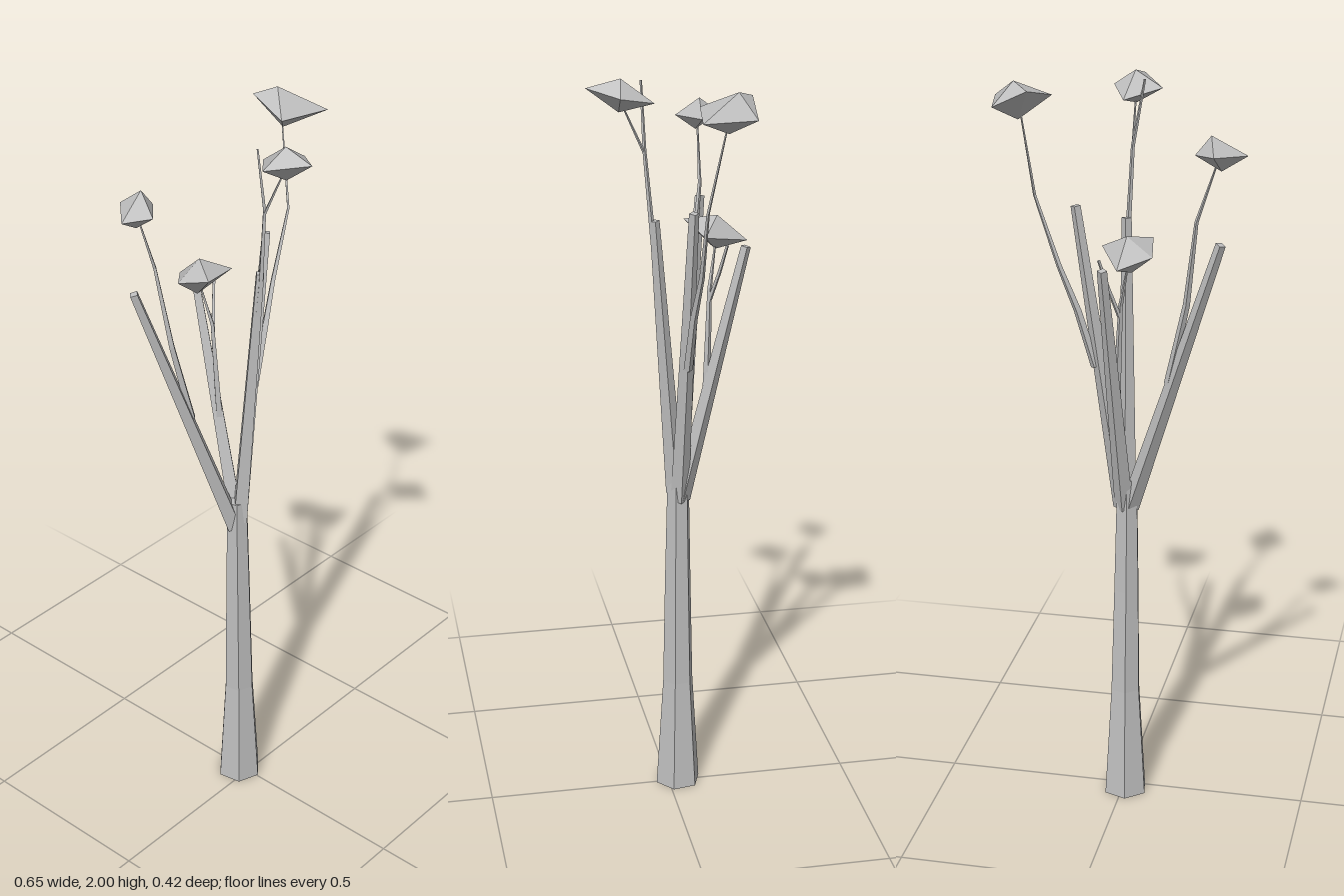
import * as THREE from 'three';

const UP = new THREE.Vector3(0, 1, 0);

// Build a mesh from a point list and triangle indices
function polyMesh(name, points, index, material) {
  const geo = new THREE.BufferGeometry();
  geo.setAttribute('position', new THREE.Float32BufferAttribute(points.flat(), 3));
  geo.setIndex(index);
  const flat = geo.toNonIndexed();
  flat.computeVertexNormals();
  const mesh = new THREE.Mesh(flat, material);
  mesh.name = name;
  return mesh;
}

// Tapered limb: rings of a few sides lofted along a path, capped at both ends.
// Each path entry is [x, y, z, radius].
function limb(name, path, sides, turn, material) {
  const centers = path.map(([x, y, z]) => new THREE.Vector3(x, y, z));
  const points = [], index = [];
  path.forEach((p, i) => {
    const before = centers[Math.max(i - 1, 0)];
    const after = centers[Math.min(i + 1, centers.length - 1)];
    const q = new THREE.Quaternion().setFromUnitVectors(UP, after.clone().sub(before).normalize());
    for (let s = 0; s < sides; s++) {
      const a = turn + (s / sides) * Math.PI * 2;
      const v = new THREE.Vector3(Math.sin(a) * p[3], 0, Math.cos(a) * p[3]);
      points.push(v.applyQuaternion(q).add(centers[i]).toArray());
    }
  });
  for (let i = 0; i < path.length - 1; i++) {
    for (let s = 0; s < sides; s++) {
      const a = i * sides + s, b = i * sides + (s + 1) % sides;
      index.push(a, b, b + sides, a, b + sides, a + sides);
    }
  }
  const last = (path.length - 1) * sides;
  for (let s = 1; s < sides - 1; s++) {
    index.push(0, s + 1, s, last, last + s, last + s + 1);
  }
  return polyMesh(name, points, index, material);
}

// Leaf clump: an uneven double pyramid on four corners (left, back, right, front)
function leafClump(name, top, bottom, ring, material) {
  const index = [];
  for (let i = 0; i < 4; i++) {
    const a = 2 + i, b = 2 + (i + 1) % 4;
    index.push(0, b, a, 1, a, b);
  }
  return polyMesh(name, [top, bottom, ...ring], index, material);
}

export function createModel() {
  const gray = new THREE.MeshStandardMaterial({ color: 0xbfbfbf, flatShading: true });
  gray.name = 'plain gray';
  const tree = new THREE.Group();
  tree.name = 'tree';

  // Six-sided trunk, flared at the foot
  tree.add(limb('trunk', [
    [-0.007, 0, -0.027, 0.063],
    [-0.007, 0.32, -0.027, 0.043],
    [-0.01, 0.62, -0.027, 0.037],
    [-0.012, 0.94, -0.028, 0.03],
  ], 6, THREE.MathUtils.degToRad(10), gray));

  // Four main branches fanning out of the trunk top
  const branches = {
    rightBranch: [[-0.02, 0.86, -0.03], [-0.268, 1.62, -0.135]],
    leftBranch: [[0, 0.86, -0.03], [0.118, 1.675, -0.042]],
    frontBranch: [[-0.01, 0.88, -0.02], [0.003, 1.63, 0.037]],
    backBranch: [[-0.005, 0.86, -0.035], [0.016, 1.555, -0.198]],
  };
  for (const [name, [a, b]] of Object.entries(branches)) {
    tree.add(limb(name, [[...a, 0.025], [...b, 0.013]], 4, 0, gray));
  }

  // Thin bent twigs carrying the leaf clumps
  const twigs = {
    rightTwig: [[-0.13, 1.23, -0.078, 0.012], [-0.178, 1.45, -0.097, 0.009],
      [-0.205, 1.67, -0.122, 0.005], [-0.258, 1.83, -0.125, 0.002]],
    leftTwig: [[0.07, 1.25, -0.038, 0.012], [0.115, 1.4, -0.043, 0.01],
      [0.16, 1.52, -0.054, 0.007], [0.22, 1.7, -0.056, 0.004], [0.243, 1.93, -0.1, 0.002]],
    frontTwig: [[-0.002, 1.3, 0.012, 0.011], [0, 1.6, 0.042, 0.007],
      [-0.008, 1.81, 0.06, 0.005], [-0.038, 1.98, 0.063, 0.003]],
    frontTwigFork: [[-0.008, 1.8, 0.059, 0.004], [-0.004, 1.93, 0.118, 0.002]],
    backTwig: [[0.002, 1.15, -0.1, 0.011], [-0.012, 1.44, -0.11, 0.006],
      [-0.036, 1.56, -0.13, 0.002]],
    backTwigFork: [[-0.01, 1.41, -0.11, 0.006], [0.015, 1.49, -0.13, 0.005],
      [0.036, 1.565, -0.145, 0.004]],
  };
  for (const [name, path] of Object.entries(twigs)) {
    tree.add(limb(name, path, 4, 0, gray));
  }

  // Faceted leaf clumps at the twig ends
  tree.add(leafClump('rightLeaves', [-0.24, 1.888, -0.127], [-0.265, 1.8, -0.122],
    [[-0.328, 1.838, -0.108], [-0.255, 1.845, -0.183], [-0.2, 1.838, -0.127], [-0.263, 1.84, -0.067]], gray));
  tree.add(leafClump('leftLeaves', [0.252, 2, -0.122], [0.248, 1.9, -0.1],
    [[0.175, 1.953, -0.043], [0.208, 1.983, -0.165], [0.298, 1.94, -0.16], [0.327, 1.943, -0.02]], gray));
  tree.add(leafClump('frontLeaves', [-0.003, 1.992, 0.12], [-0.005, 1.908, 0.125],
    [[-0.075, 1.95, 0.11], [0.012, 1.93, 0.037], [0.055, 1.952, 0.13], [-0.01, 1.97, 0.207]], gray));
  tree.add(leafClump('backLeaves', [-0.033, 1.628, -0.133], [-0.045, 1.535, -0.13],
    [[-0.1, 1.58, -0.145], [-0.023, 1.56, -0.21], [0.04, 1.588, -0.088], [-0.085, 1.608, -0.055]], gray));

  return tree;
}
